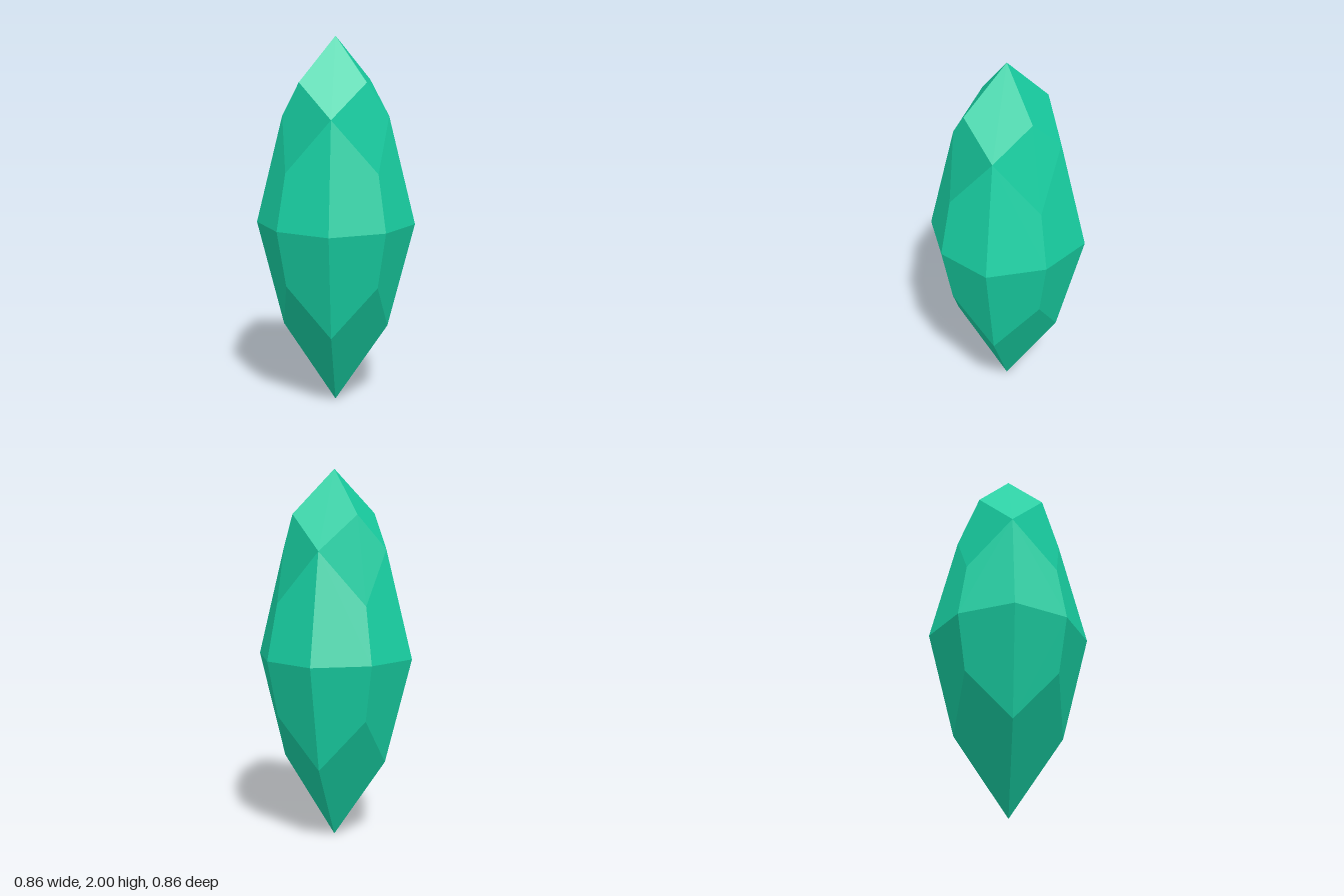
import * as THREE from 'three';

// Faceted crystal: rings of points, four-fold symmetric about y
export function createModel() {
  // Point at quarter-turn number q (whole = axis, half = diagonal)
  const point = (r, y) => (q) => {
    const a = q * Math.PI / 2;
    return new THREE.Vector3(r * Math.sin(a), y, r * Math.cos(a));
  };
  const tip = point(0, 2), base = point(0, 0);
  const crown = point(0.248, 1.765), shoulder = point(0.286, 1.58);
  const upper = point(0.341, 1.3), lower = point(0.341, 0.7);
  const girdle = point(0.43, 1), girdleCorner = point(0.401, 1);
  const foot = point(0.286, 0.43);

  const positions = [], normals = [];
  // One flat-shaded facet, corners counter-clockwise from outside
  const facet = (a, b, c, d) => {
    const n = c.clone().sub(a).cross(d.clone().sub(b)).normalize();
    for (const p of [a, b, c, a, c, d]) {
      positions.push(p.x, p.y, p.z);
      normals.push(n.x, n.y, n.z);
    }
  };

  for (let k = 0; k < 4; k++) {
    const l = k - 0.5, r = k + 0.5, next = k + 1;
    // Pointed cap and the facets beneath it
    facet(tip(k), crown(l), shoulder(k), crown(r));
    facet(crown(r), shoulder(k), upper(r), shoulder(next));
    // Body above the girdle
    facet(shoulder(k), girdle(k), girdleCorner(r), upper(r));
    facet(shoulder(k), upper(l), girdleCorner(l), girdle(k));
    // Body below the girdle
    facet(foot(k), lower(r), girdleCorner(r), girdle(k));
    facet(foot(k), girdle(k), girdleCorner(l), lower(l));
    // Lower point
    facet(lower(r), foot(k), base(k), foot(next));
  }

  const geometry = new THREE.BufferGeometry();
  geometry.setAttribute('position', new THREE.Float32BufferAttribute(positions, 3));
  geometry.setAttribute('normal', new THREE.Float32BufferAttribute(normals, 3));

  const crystal = new THREE.Mesh(geometry, new THREE.MeshStandardMaterial({ color: 0x18cfa2 }));
  crystal.name = 'crystal';
  const group = new THREE.Group();
  group.name = 'gem';
  group.add(crystal);
  return group;
}
